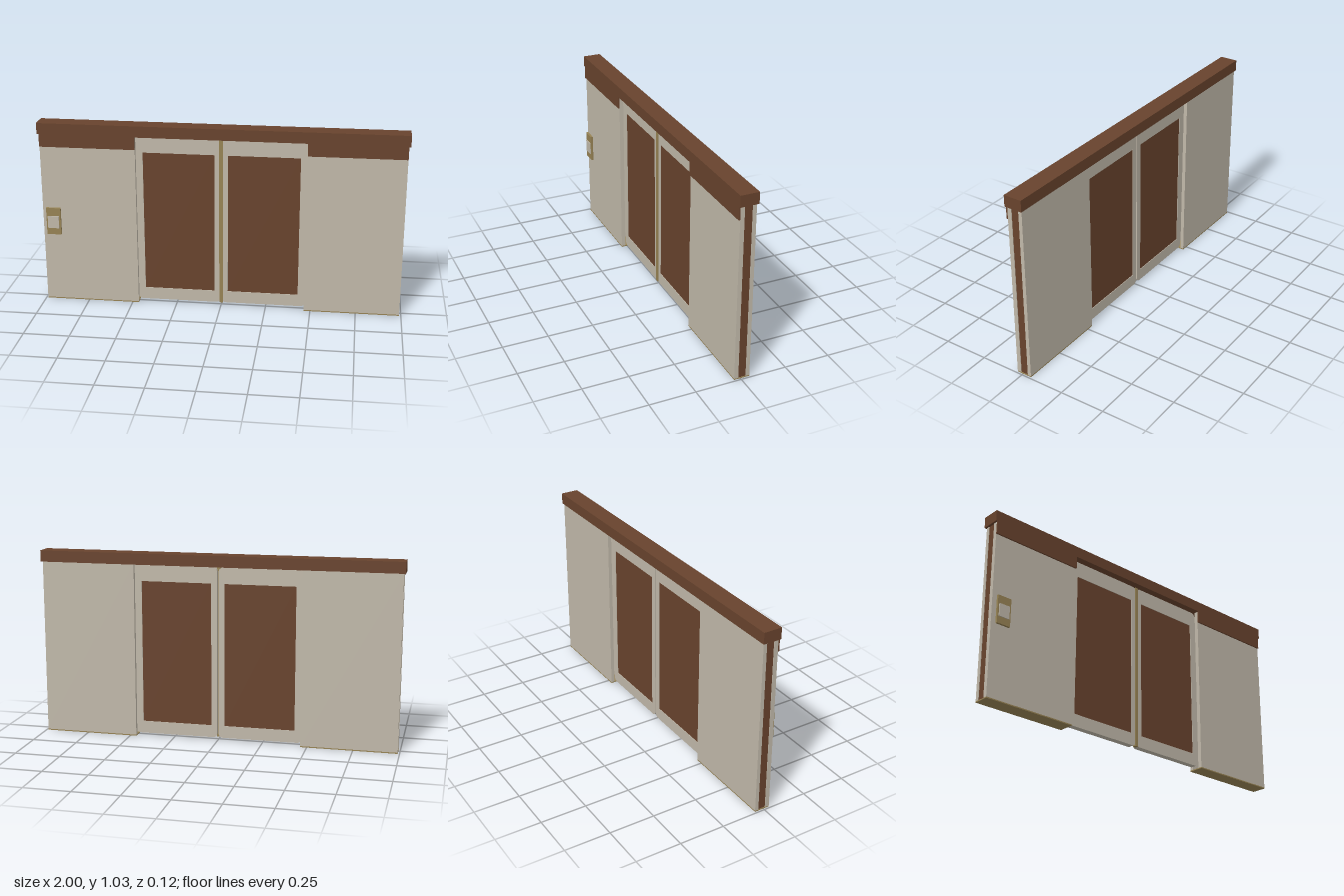
import * as THREE from 'three';

const paint = (name, color) => {
  const m = new THREE.MeshStandardMaterial({ color });
  m.name = name;
  return m;
};

// Rectangle outline with rounded corners
function roundedRect(x0, y0, x1, y1, r) {
  const s = new THREE.Shape();
  s.moveTo(x0 + r, y0);
  s.lineTo(x1 - r, y0);
  s.absarc(x1 - r, y0 + r, r, -Math.PI / 2, 0);
  s.lineTo(x1, y1 - r);
  s.absarc(x1 - r, y1 - r, r, 0, Math.PI / 2);
  s.lineTo(x0 + r, y1);
  s.absarc(x0 + r, y1 - r, r, Math.PI / 2, Math.PI);
  s.lineTo(x0, y0 + r);
  s.absarc(x0 + r, y0 + r, r, Math.PI, Math.PI * 1.5);
  return s;
}

export function createModel() {
  const cream = paint('cream', 0xc0b8a9);
  const brown = paint('brown', 0x68432d);
  const brass = paint('brass', 0x978354);
  const model = new THREE.Group();
  model.name = 'slidingDoor';

  // Box given by its limits along each axis
  const box = (name, mat, [x0, x1], [y0, y1], [z0, z1], parent = model) => {
    const mesh = new THREE.Mesh(new THREE.BoxGeometry(x1 - x0, y1 - y0, z1 - z0), mat);
    mesh.position.set((x0 + x1) / 2, (y0 + y1) / 2, (z0 + z1) / 2);
    mesh.name = name;
    parent.add(mesh);
    return mesh;
  };

  // Header beam across the full width
  box('headerBeam', brown, [-1, 1], [0.97, 1.032], [-0.057, 0.043]);

  for (const side of [1, -1]) {
    const label = side > 0 ? 'left' : 'right';
    const span = (a, b) => (side > 0 ? [a, b] : [-b, -a]);

    // Wall pocket: two sheets with an end post between them
    const wall = new THREE.Group();
    wall.name = label + 'Wall';
    model.add(wall);
    box('frontSheet', cream, span(0.465, 0.99), [0.006, 0.97], [0.012, 0.035], wall);
    box('backSheet', cream, span(0.465, 0.99), [0.006, 0.97], [-0.05, -0.03], wall);
    box('endPost', brown, span(0.94, 0.987), [0.006, 0.97], [-0.03, 0.012], wall);
    box('sill', brass, span(0.465, 0.99), [0, 0.006], [-0.05, 0.035], wall);
    box('fascia', brown, span(0.465, 0.99), [0.9, 0.97], [0.035, 0.043], wall);

    // Door leaf: rounded frame with an inset panel
    const door = new THREE.Group();
    door.name = label + 'Door';
    model.add(door);
    const [x0, x1] = span(0.004, 0.467);
    const [p0, p1] = span(0.037, 0.428);
    const outline = roundedRect(x0, 0.015, x1, 0.965, 0.024);
    outline.holes.push(new THREE.Path([
      new THREE.Vector2(p0, 0.083), new THREE.Vector2(p0, 0.877),
      new THREE.Vector2(p1, 0.877), new THREE.Vector2(p1, 0.083),
    ]));
    const frame = new THREE.Mesh(
      new THREE.ExtrudeGeometry(outline, { depth: 0.034, bevelEnabled: false, curveSegments: 6 }), cream);
    frame.position.z = -0.026;
    frame.name = 'doorFrame';
    door.add(frame);
    box('doorPanel', brown, [p0, p1], [0.083, 0.877], [-0.023, 0.005], door);
  }

  // Meeting strip on the front of the doors
  box('meetingStrip', brass, [-0.01, 0.01], [0.015, 0.965], [-0.008, 0.012]);

  // Wall control with its button
  box('controlPlate', brass, [-0.968, -0.888], [0.398, 0.552], [0.043, 0.055]);
  box('controlButton', cream, [-0.96, -0.898], [0.436, 0.506], [0.055, 0.06]);

  return model;
}
